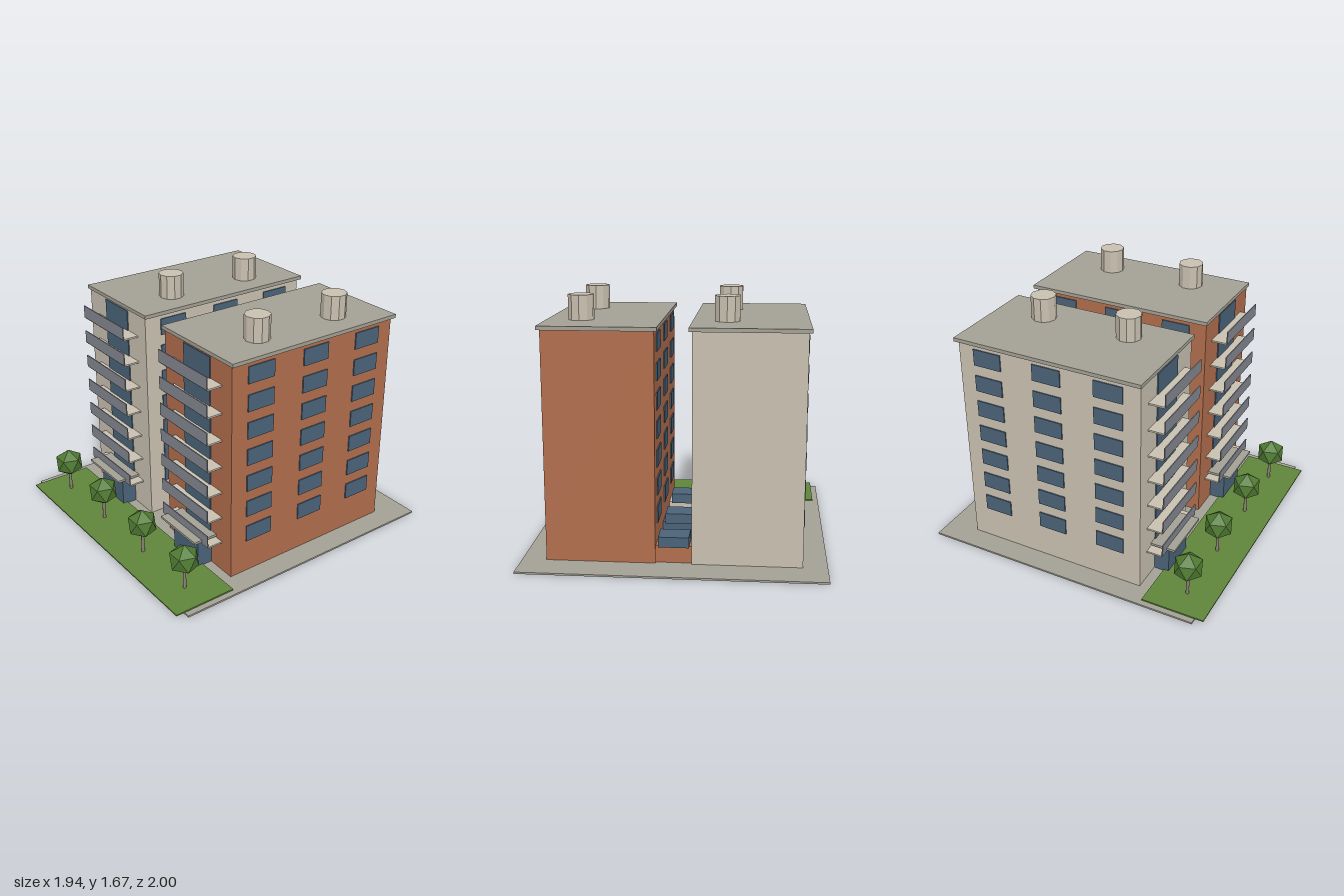
import * as THREE from 'three';

const mat = (name, color) => Object.assign(new THREE.MeshStandardMaterial({ color }), { name });

export function createModel() {
  const cream = mat('cream', 0xc9c0b0);
  const brick = mat('brick', 0xb16e4d);
  const glass = mat('windowBlue', 0x4a6379);
  const concrete = mat('concrete', 0xa3a094);
  const railing = mat('railingGrey', 0x83878f);
  const grass = mat('grass', 0x5f863a);
  const foliage = mat('foliage', 0x4f7a32);
  const bark = mat('bark', 0x8a7f74);
  foliage.flatShading = true;
  cream.flatShading = true;

  const model = new THREE.Group();
  model.name = 'apartmentTowers';

  // Box from its minimum and maximum corners
  function box(parent, name, material, [x0, y0, z0], [x1, y1, z1]) {
    const mesh = new THREE.Mesh(new THREE.BoxGeometry(x1 - x0, y1 - y0, z1 - z0), material);
    mesh.position.set((x0 + x1) / 2, (y0 + y1) / 2, (z0 + z1) / 2);
    mesh.name = name;
    parent.add(mesh);
    return mesh;
  }

  // Ground
  box(model, 'pavement', concrete, [-0.97, 0, -1], [0.97, 0.012, 0.94]);
  box(model, 'lawn', grass, [-0.93, 0.012, 0.57], [0.93, 0.021, 1]);

  const floors = 7, storey = 0.1845;

  function tower(name, x, wall) {
    const g = new THREE.Group();
    g.name = name;
    g.position.x = x;
    model.add(g);
    box(g, 'walls', wall, [-0.349, 0.012, -0.78], [0.349, 1.49, 0.5]);
    box(g, 'roof', concrete, [-0.368, 1.49, -0.805], [0.368, 1.515, 0.51]);

    for (let i = 0; i < floors; i++) {
      const y = 0.219 + i * storey;
      // Balcony with its glazed door and front panel
      box(g, 'balconyDoor', glass, [-0.1375, y + 0.011, 0.5], [0.1375, y + 0.151, 0.507]);
      box(g, 'balconySlab', cream, [-0.253, y, 0.5], [0.253, y + 0.011, 0.607]);
      box(g, 'balconyPanel', railing, [-0.253, y + 0.008, 0.607], [0.253, y + 0.093, 0.614]);
      // Side windows on both flanks
      for (const side of [-1, 1]) {
        for (const z of [0.283, -0.144, -0.572]) {
          const xs = [side * 0.349, side * 0.357].sort((a, b) => a - b);
          box(g, 'sideWindow', glass, [xs[0], y + 0.022, z - 0.099], [xs[1], y + 0.134, z + 0.099]);
        }
      }
    }

    // Entrance porch and canopy
    box(g, 'entrance', glass, [-0.1375, 0.012, 0.5], [0.1375, 0.219, 0.605]);
    box(g, 'canopy', concrete, [-0.193, 0.238, 0.5], [0.193, 0.254, 0.67]);

    // Roof tanks
    for (const z of [-0.46, 0.16]) {
      const tank = new THREE.Mesh(new THREE.CylinderGeometry(0.083, 0.083, 0.16, 10), cream);
      tank.position.set(0.15, 1.595, z);
      tank.name = 'roofTank';
      g.add(tank);
    }
  }
  tower('creamTower', -0.465, cream);
  tower('brickTower', 0.463, brick);

  // Low blocks in the passage, each with an offset blue top
  [[0.2025, cream], [-0.2325, glass], [-0.6825, brick]].forEach(([z, material]) => {
    box(model, 'passageBlock', material, [-0.13, 0.012, z - 0.0775], [0.13, 0.122, z + 0.0775]);
    box(model, 'passageBlockTop', glass, [-0.099, 0.122, z - 0.1075], [0.095, 0.19, z + 0.0475]);
  });

  // Trees, crowns turned so that one vertex points straight up
  const crownGeo = new THREE.IcosahedronGeometry(0.103, 0);
  crownGeo.rotateZ(-Math.atan(2 / (1 + Math.sqrt(5)))).rotateY(Math.PI / 2);
  const trunkGeo = new THREE.CylinderGeometry(0.01, 0.012, 0.14, 8);
  for (const x of [-0.74, -0.255, 0.25, 0.735]) {
    const tree = new THREE.Group();
    tree.name = 'tree';
    tree.position.set(x, 0, 0.805);
    const trunk = new THREE.Mesh(trunkGeo, bark);
    trunk.name = 'trunk';
    trunk.position.y = 0.09;
    const crown = new THREE.Mesh(crownGeo, foliage);
    crown.name = 'crown';
    crown.position.y = 0.238;
    tree.add(trunk, crown);
    model.add(tree);
  }

  return model;
}
